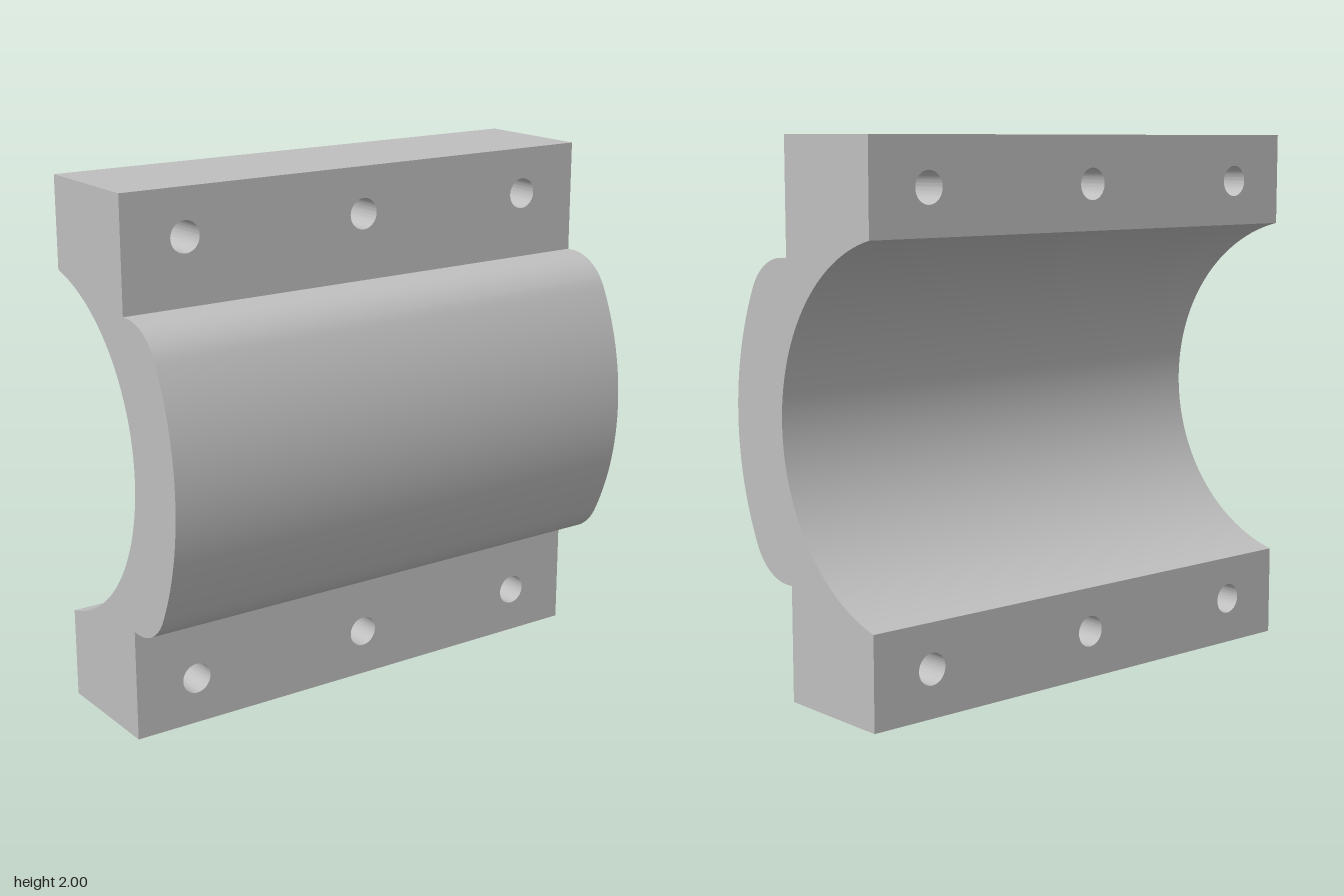
import * as THREE from 'three';
import { toCreasedNormals } from 'three/addons/utils/BufferGeometryUtils.js';

const BACK = -0.4, FACE = 0.077;        // z of the flange faces
const BORE_Z = -0.555, BORE_R = 0.675;  // bore axis and radius
const CROWN_Z = -0.625, CROWN_R = 1.025; // outer crown arc
const FILLET_R = 0.207, FILLET_A = 0.47; // rounded shoulder

export function createModel() {
  const metal = new THREE.MeshStandardMaterial({ color: 0xbfbfbf });
  const group = new THREE.Group();

  const add = (name, geometry) => {
    const mesh = new THREE.Mesh(toCreasedNormals(geometry, 0.5), metal);
    mesh.name = name;
    group.add(mesh);
    return mesh;
  };

  // Saddle: curved cross-section (shape x = world z), extruded along the length
  const boreA = Math.acos((BACK - BORE_Z) / BORE_R);
  const boreH = BORE_R * Math.sin(boreA);
  const filletD = CROWN_R - FILLET_R;
  const filletZ = CROWN_Z + filletD * Math.cos(FILLET_A);
  const filletY = filletD * Math.sin(FILLET_A);
  const profile = new THREE.Shape();
  profile.moveTo(BACK, 1 - boreH);
  profile.lineTo(FACE, 1 - boreH);
  profile.lineTo(FACE, 1 - filletY - FILLET_R);
  profile.absarc(filletZ, 1 - filletY, FILLET_R, -Math.PI / 2, -FILLET_A, false);
  profile.absarc(CROWN_Z, 1, CROWN_R, -FILLET_A, FILLET_A, false);
  profile.absarc(filletZ, 1 + filletY, FILLET_R, FILLET_A, Math.PI / 2, false);
  profile.lineTo(FACE, 1 + filletY + FILLET_R);
  profile.lineTo(FACE, 1 + boreH);
  profile.lineTo(BACK, 1 + boreH);
  profile.absarc(BORE_Z, 1, BORE_R, boreA, -boreA, true);
  const saddle = new THREE.ExtrudeGeometry(profile, { depth: 2, bevelEnabled: false, curveSegments: 40 });
  saddle.translate(0, 0, -1).rotateY(-Math.PI / 2);
  add('saddle', saddle);

  // Flanges: bars with three bolt holes running front to back
  const barH = 1 - boreH;
  for (const [name, y0, holeY] of [['lowerFlange', 0, 0.177], ['upperFlange', 2 - barH, 1.825]]) {
    const bar = new THREE.Shape();
    bar.moveTo(-1, y0);
    bar.lineTo(1, y0);
    bar.lineTo(1, y0 + barH);
    bar.lineTo(-1, y0 + barH);
    for (const x of [-0.75, 0, 0.75]) {
      bar.holes.push(new THREE.Path().absarc(x, holeY, 0.058, 0, Math.PI * 2, true));
    }
    const geometry = new THREE.ExtrudeGeometry(bar, { depth: FACE - BACK, bevelEnabled: false, curveSegments: 32 });
    add(name, geometry.translate(0, 0, BACK));
  }
  return group;
}
